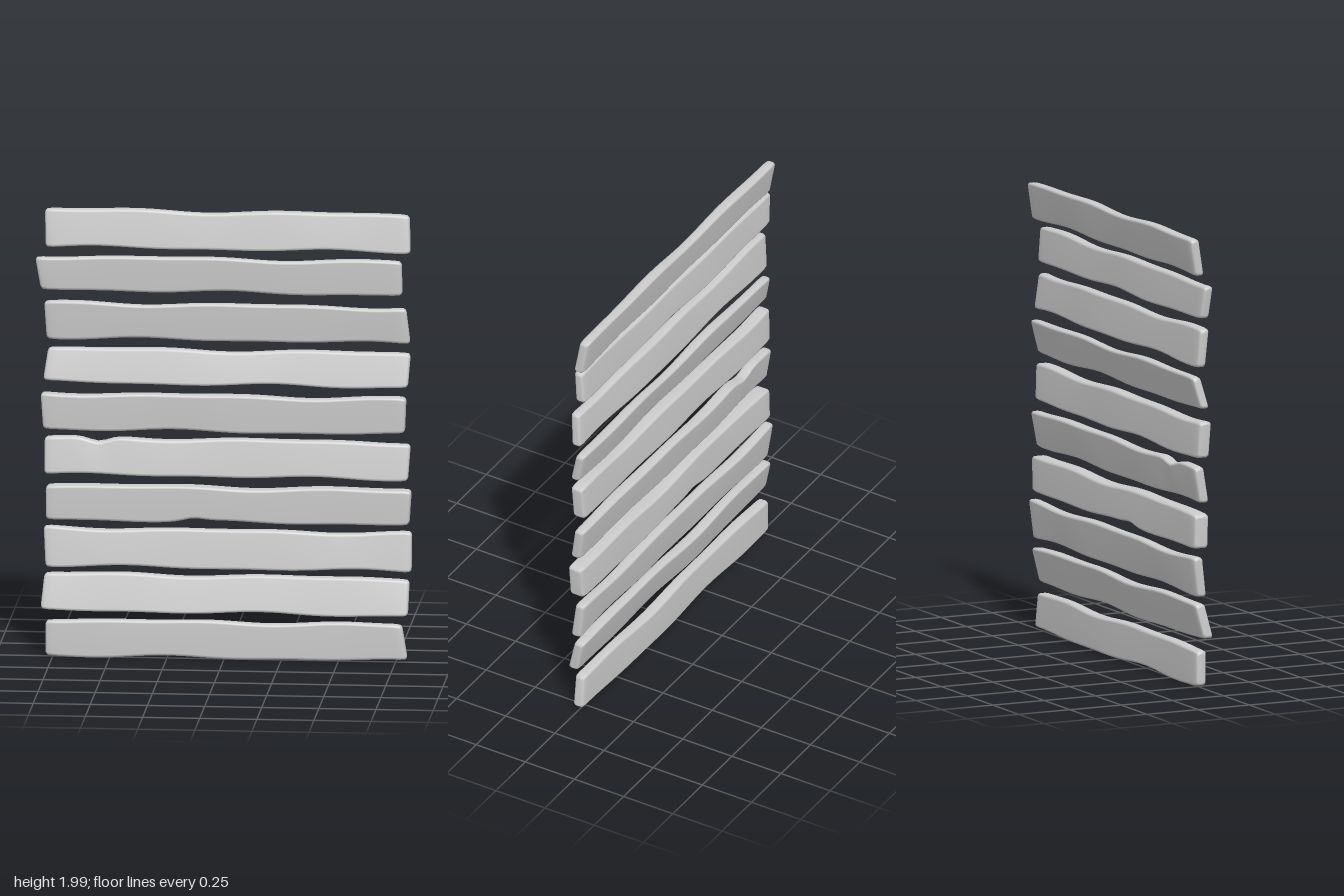
import * as THREE from 'three';

const material = new THREE.MeshStandardMaterial({ color: 0xcccccc });

// Each plank, from the ground up:
// bottom, top, left x, right x, slant of both ends, depth centre, thickness, lean
const planks = [
  [0.005, 0.183, -0.78, 0.79, 0, -0.025, 0.003, 0.05, 0.002],
  [0.21, 0.386, -0.793, 0.808, 0.015, 0.005, 0.008, 0.05, -0.036],
  [0.405, 0.588, -0.785, 0.82, -0.01, 0, -0.004, 0.05, -0.024],
  [0.613, 0.784, -0.778, 0.815, 0, 0.01, 0.006, 0.068, 0.004],
  [0.815, 0.992, -0.785, 0.81, 0, 0.01, -0.001, 0.052, -0.026],
  [1.015, 1.193, -0.795, 0.794, -0.01, 0.007, 0.011, 0.058, 0.008],
  [1.226, 1.389, -0.78, 0.81, 0.02, 0.01, 0.003, 0.046, -0.034],
  [1.42, 1.598, -0.78, 0.806, -0.01, -0.018, 0.009, 0.046, 0.014],
  [1.635, 1.803, -0.812, 0.779, -0.025, -0.003, 0.011, 0.046, 0.01],
  [1.825, 2.003, -0.783, 0.812, -0.005, -0.007, -0.016, 0.048, -0.028],
];

// Uneven edge: a gentle wave between 0 and about 0.016
const wave = (u, s) => 0.008 * (1 + 0.6 * Math.sin(11 * u + s) + 0.4 * Math.sin(19 * u + 2 * s));

// Chip in an edge around x = at
const chip = (x, at, depth) => depth * Math.exp(-(((x - at) / 0.06) ** 2));

// Rounded rectangle in (y, z), running from +y towards +z
function section(halfH, halfT, r) {
  const pts = [];
  for (let c = 0; c < 4; c++) {
    const sy = c === 0 || c === 3 ? 1 : -1;
    const sz = c < 2 ? 1 : -1;
    for (let k = 0; k < 4; k++) {
      const a = (c + k / 3) * Math.PI / 2;
      pts.push([sy * (halfH - r) + r * Math.cos(a), sz * (halfT - r) + r * Math.sin(a)]);
    }
    // a point in the middle of each face
    pts.push(c % 2 === 0 ? [0, sz * halfT] : [sy * halfH, 0]);
  }
  return pts;
}

function plankGeometry([bottom, top, left, right, slantL, slantR, depth, thickness, lean], id) {
  // stations along the length, [u, inset], closer together at the worn ends
  const worn = [[0, 0.013], [0.002, 0.007], [0.006, 0.002]];
  const stations = [...worn];
  for (let i = 1; i < 48; i++) stations.push([i / 48, 0]);
  stations.push(...worn.map(([u, inset]) => [1 - u, inset]).reverse());

  const pos = [], index = [];
  let n = 0;
  for (const [u, inset] of stations) {
    const along = THREE.MathUtils.lerp(left, right, u);
    let yt = top - wave(u, id * 2.3 + 1);
    let yb = bottom + wave(u, id * 3.7 + 4);
    if (id === 3) yb += chip(along, -0.13, 0.012);
    if (id === 5 - 1) yt -= chip(along, -0.55, 0.025);
    const mid = (yt + yb) / 2, halfH = (yt - yb) / 2;
    const sway = depth + 0.003 * Math.sin(7 * u + id * 1.9);
    const halfT = thickness / 2 + 0.0015 * Math.sin(13 * u + id * 2.7);
    const ring = section(halfH - inset, halfT - inset * 0.8, 0.0125);
    n = ring.length;
    for (const [y, z] of ring) {
      const v = y / halfH / 2;
      const x = along + v * THREE.MathUtils.lerp(slantL, slantR, u);
      pos.push(x, mid + y, sway + z + v * lean);
    }
  }

  // skin between neighbouring rings
  const last = stations.length - 1;
  for (let i = 0; i < last; i++) {
    for (let j = 0; j < n; j++) {
      const a = i * n + j, b = i * n + (j + 1) % n;
      index.push(a, b, b + n, a, b + n, a + n);
    }
  }
  // end caps, fanned from the first ring point
  for (let j = 1; j < n - 1; j++) {
    const e = last * n;
    index.push(0, j + 1, j, e, e + j, e + j + 1);
  }

  const geometry = new THREE.BufferGeometry();
  geometry.setAttribute('position', new THREE.Float32BufferAttribute(pos, 3));
  geometry.setIndex(index);
  geometry.computeVertexNormals();
  return geometry;
}

export function createModel() {
  const model = new THREE.Group();
  model.name = 'plankStack';
  planks.forEach((plank, i) => {
    const mesh = new THREE.Mesh(plankGeometry(plank, i), material);
    mesh.name = `plank${i + 1}`;
    model.add(mesh);
  });
  return model;
}
